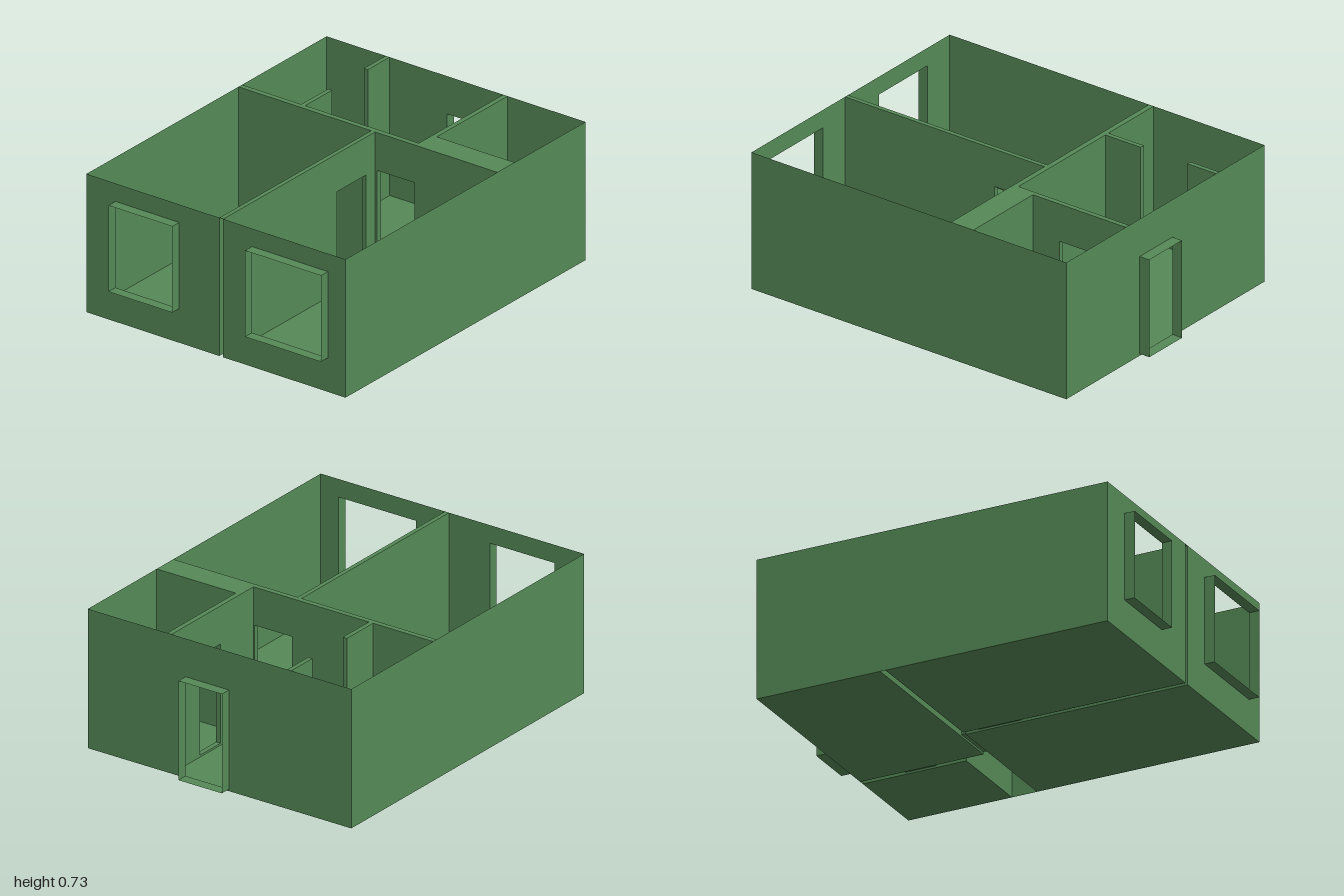
import * as THREE from 'three';

const H = 0.73, L = -0.945, R = 0.942, B = -0.773, F = 0.773;
const DOOR = [0.01, 0.53], WINDOW = [0.18, 0.635];

export function createModel() {
  const house = new THREE.Group();
  house.name = 'house';
  const mat = new THREE.MeshStandardMaterial({ color: 0x568a57, side: THREE.DoubleSide });

  function add(name, geo) {
    const mesh = new THREE.Mesh(geo, mat);
    mesh.name = name;
    house.add(mesh);
    return mesh;
  }

  const rect = (Type, a, b, y0, y1) => new Type([[a, y0], [b, y0], [b, y1], [a, y1]]
    .map(([u, v]) => new THREE.Vector2(u, v)));

  // thin upright wall on the plane axis = pos, spanning a..b, holes as [from, to, [bottom, top]]
  function wall(name, axis, pos, a, b, holes = []) {
    const shape = rect(THREE.Shape, a, b, 0, H);
    for (const [h0, h1, [y0, y1]] of holes) shape.holes.push(rect(THREE.Path, h0, h1, y0, y1));
    const geo = new THREE.ShapeGeometry(shape);
    if (axis === 'x') geo.rotateY(-Math.PI / 2).translate(pos, 0, 0);
    else geo.translate(0, 0, pos);
    add(name, geo);
  }

  // horizontal sheet from x/z corner points
  function sheet(name, y, points) {
    const shape = new THREE.Shape(points.map(([x, z]) => new THREE.Vector2(x, z)));
    add(name, new THREE.ShapeGeometry(shape).rotateX(Math.PI / 2).translate(0, y, 0));
  }
  const floor = (name, x0, x1, z0, z1) => sheet(name, 0, [[x0, z0], [x1, z0], [x1, z1], [x0, z1]]);

  // thin box with the listed faces left out (0 +x, 1 -x, 2 +y, 3 -y, 4 +z, 5 -z)
  function openBox(name, [x0, x1], [y0, y1], [z0, z1], skip) {
    const geo = new THREE.BoxGeometry(x1 - x0, y1 - y0, z1 - z0);
    geo.setIndex([...geo.index.array].filter((_, i) => !skip.includes(Math.floor(i / 6))));
    add(name, geo.translate((x0 + x1) / 2, (y0 + y1) / 2, (z0 + z1) / 2));
  }

  // openings along their walls
  const frontDoor = [-0.055, 0.2], hallDoor = [0.055, 0.277];
  const bedroomDoor = [-0.05, 0.178], bathDoor = [0.545, 0.713];
  const backWindow = [-0.6, -0.22], frontWindow = [0.215, 0.668];

  // outer walls
  wall('backWall', 'z', B, L, R);
  wall('frontWall', 'z', F, L, R);
  wall('rightWall', 'x', R, B, F, [[...frontDoor, DOOR]]);
  wall('backRoomWindowWall', 'x', L, B, 0.02, [[...backWindow, WINDOW]]);
  wall('frontRoomWindowWall', 'x', L, 0.043, F, [[...frontWindow, WINDOW]]);

  // inner walls, each partition being a pair of faces
  wall('backRoomInnerWall', 'z', 0.02, L, 0.25, [[...bedroomDoor, DOOR]]);
  wall('frontRoomInnerWall', 'z', 0.043, L, 0.25, [[...bedroomDoor, DOOR]]);
  wall('backRoomSideWall', 'x', 0.25, B, 0.02);
  wall('frontRoomSideWall', 'x', 0.25, 0.043, F, [[...hallDoor, DOOR]]);
  wall('hallSideWall', 'x', 0.278, B, 0.282, [[...hallDoor, DOOR]]);
  wall('hallFrontWall', 'z', 0.282, 0.278, R, [[...bathDoor, DOOR]]);
  wall('bathBackWall', 'z', 0.308, 0.385, R, [[...bathDoor, DOOR]]);
  wall('bathSideWall', 'x', 0.385, 0.308, F);

  // short partitions in the hall
  openBox('leftPartition', [0.278, 0.49], [0, H], [-0.42, -0.396], [1, 3]);
  openBox('rightPartition', [0.77, R], [0, H], [-0.42, -0.396], [0, 3]);

  // wall tops closing the gaps between the rooms
  sheet('partitionTop', H, [[L, 0.02], [0.25, 0.02], [0.25, B], [0.278, B], [0.278, 0.282],
    [R, 0.282], [R, 0.308], [0.385, 0.308], [0.385, F], [0.25, F], [0.25, 0.043], [L, 0.043]]);

  // one floor per room
  floor('backRoomFloor', L, 0.25, B, 0.02);
  floor('frontRoomFloor', L, 0.25, 0.043, F);
  floor('hallFloor', 0.278, R, B, 0.282);
  floor('bathFloor', 0.385, R, 0.308, F);

  // door and window linings; outer ones stand out from the walls
  openBox('frontDoorFrame', [R, 1], DOOR, frontDoor, [0, 1]);
  openBox('backWindowFrame', [-1, L], WINDOW, backWindow, [0, 1]);
  openBox('frontWindowFrame', [-1, L], WINDOW, frontWindow, [0, 1]);
  openBox('hallDoorFrame', [0.25, 0.278], DOOR, hallDoor, [0, 1]);
  openBox('bedroomDoorFrame', bedroomDoor, DOOR, [0.02, 0.043], [4, 5]);
  openBox('bathDoorFrame', bathDoor, DOOR, [0.282, 0.308], [4, 5]);

  return house;
}
